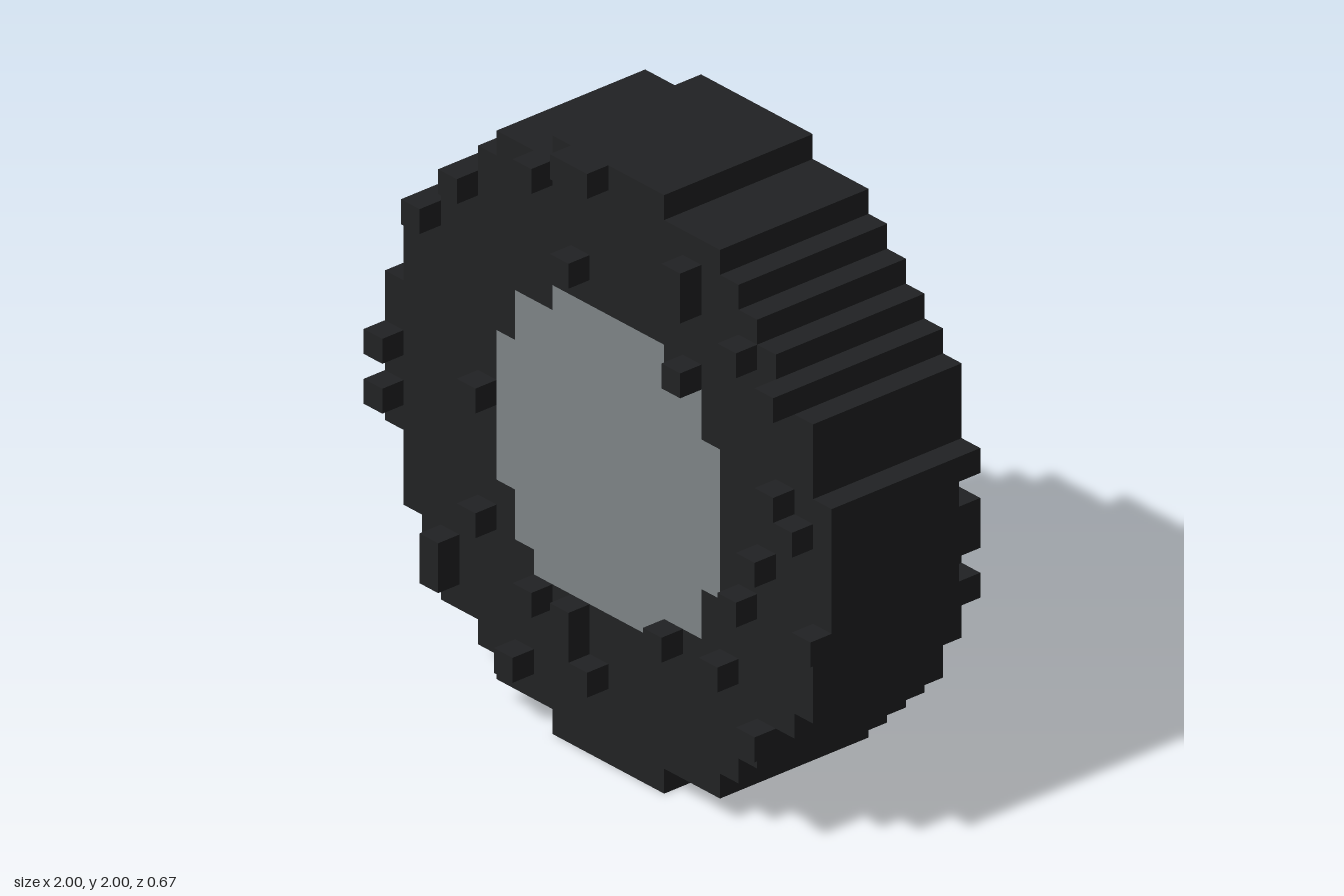
import * as THREE from 'three';

const V = 1 / 12; // edge of one block

// Half-widths in blocks, one per row from the ground up
const TYRE = [3, 6, 7, 8, 9, 10, 11, 11, 11, 12, 12, 12, 12, 12, 12, 11, 11, 11, 10, 9, 8, 7, 6, 3];
const HUB = { 6: 4, 7: 5, 8: 5, 9: 6, 10: 6, 11: 6, 12: 6, 13: 6, 14: 6, 15: 5, 16: 5, 17: 3 };

// Single blocks standing proud of the front face: [column, row]
const STUDS = [
  [-2, 23], [-1, 23], [-4, 22], [4, 21], [4, 20], [-8, 20], [-2, 19], [7, 19], [-10, 18], [9, 18],
  [4, 17], [9, 14], [10, 13], [-12, 12], [-7, 12], [8, 11], [-12, 10], [7, 9], [11, 9], [-7, 7],
  [3, 6], [6, 6], [-9, 5], [-9, 4], [-4, 5], [-2, 5], [-2, 4], [8, 4], [-1, 3], [-5, 2],
];
// Single blocks missing from the back face
const PITS = [
  [0, 21], [1, 21], [-1, 22], [4, 17], [11, 13], [10, 13], [11, 10], [10, 11], [8, 7], [7, 8],
  [10, 6], [6, 6], [6, 4], [4, 4], [4, 2], [0, 3], [0, 1], [-5, 3], [-4, 5], [-11, 9], [-10, 9],
  [2, 0], [-1, 0],
];
const key = (i, j) => i + ',' + j;
const studs = new Set(STUDS.map(([i, j]) => key(i, j)));
const pits = new Set(PITS.map(([i, j]) => key(i, j)));

const inRow = (i, half = 0) => i >= -half && i < half;
const isHub = (i, j, k) => k >= -3 && k < 3 && inRow(i, HUB[j]);

function isTyre(i, j, k) {
  if (k === 3) return studs.has(key(i, j));
  if (k < -4 || k > 3) return false;
  if (k === -4 && pits.has(key(i, j))) return false;
  const uneven = i === -9 && j === 3; // one worn-in extra block on the tread
  return (inRow(i, TYRE[j]) || uneven) && !inRow(i, HUB[j]);
}

// Skin of a block solid: only faces open to the air are made
function blockGeometry(isSolid) {
  const open = (i, j, k) => !isTyre(i, j, k) && !isHub(i, j, k);
  const pos = [], nor = [], idx = [];
  for (let k = -4; k < 4; k++) for (let j = 0; j < 24; j++) for (let i = -12; i < 12; i++) {
    if (!isSolid(i, j, k)) continue;
    for (let axis = 0; axis < 3; axis++) for (const s of [-1, 1]) {
      const n = [0, 0, 0];
      n[axis] = s;
      if (!open(i + n[0], j + n[1], k + n[2])) continue;
      const base = pos.length / 3;
      const u = (axis + 1) % 3, w = (axis + 2) % 3;
      for (const [a, b] of [[0, 0], [1, 0], [1, 1], [0, 1]]) {
        const c = [i, j, k];
        c[axis] += s > 0 ? 1 : 0;
        c[u] += a;
        c[w] += b;
        pos.push(c[0] * V, c[1] * V, c[2] * V);
        nor.push(...n);
      }
      const order = s > 0 ? [0, 1, 2, 0, 2, 3] : [0, 2, 1, 0, 3, 2];
      idx.push(...order.map((o) => base + o));
    }
  }
  const g = new THREE.BufferGeometry();
  g.setAttribute('position', new THREE.Float32BufferAttribute(pos, 3));
  g.setAttribute('normal', new THREE.Float32BufferAttribute(nor, 3));
  g.setIndex(idx);
  return g;
}

export function createModel() {
  const wheel = new THREE.Group();
  wheel.name = 'wheel';
  const add = (name, isSolid, color) => {
    const mesh = new THREE.Mesh(blockGeometry(isSolid), new THREE.MeshStandardMaterial({ color }));
    mesh.name = name;
    wheel.add(mesh);
  };
  add('tyre', isTyre, 0x212224);
  add('hub', isHub, 0x7d8486);
  return wheel;
}
